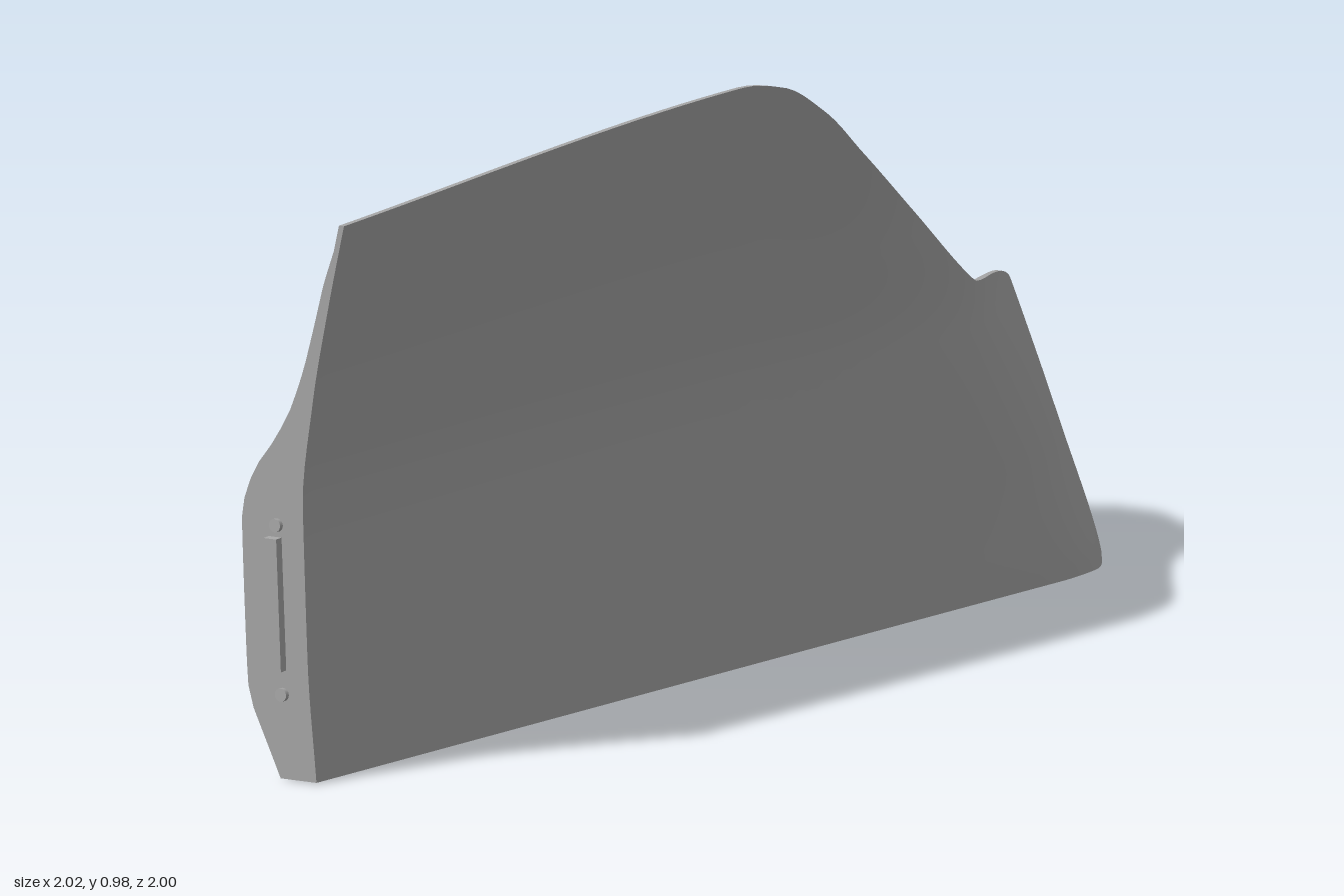
import * as THREE from 'three';
import { toCreasedNormals } from 'three/addons/utils/BufferGeometryUtils.js';

const { smoothstep, lerp } = THREE.MathUtils;

// Smooth interpolation through [position, value] pairs without overshoot
function profile(pts) {
  const slope = pts.slice(1).map((p, i) => (p[1] - pts[i][1]) / (p[0] - pts[i][0]));
  const tangent = pts.map((p, i) => {
    const a = slope[Math.max(i - 1, 0)], b = slope[Math.min(i, slope.length - 1)];
    return a * b <= 0 ? 0 : (2 * a * b) / (a + b);
  });
  return (x) => {
    if (x <= pts[0][0]) return pts[0][1];
    let i = 0;
    while (i < pts.length - 2 && x > pts[i + 1][0]) i++;
    const w = pts[i + 1][0] - pts[i][0];
    const t = Math.min((x - pts[i][0]) / w, 1), t2 = t * t, t3 = t2 * t;
    return (2 * t3 - 3 * t2 + 1) * pts[i][1] + (t3 - 2 * t2 + t) * w * tangent[i]
      + (3 * t2 - 2 * t3) * pts[i + 1][1] + (t3 - t2) * w * tangent[i + 1];
  };
}

// Panel described by length s, height y and outward offset n
const START = -1.267, TIP = 1.395;
const topHeight = profile([[START, 0.93], [-0.19, 0.98], [-0.065, 0.96], [0.063, 0.9], [0.202, 0.81],
  [0.429, 0.67], [0.644, 0.53], [0.685, 0.512], [0.813, 0.5], [0.971, 0.465], [1.115, 0.385],
  [1.215, 0.28], [TIP, 0.004]]);
const topOffset = profile([[START, 0.272], [-0.19, 0.27], [0.063, 0.255], [0.202, 0.232], [0.429, 0.178],
  [0.644, 0.135], [0.813, 0.068], [0.971, -0.015], [1.115, -0.096], [1.215, -0.147], [TIP, -0.227]]);
const bottomOffset = profile([[START, 0.179], [0.49, 0.174], [0.85, 0.174], [0.96, 0.163], [1.075, 0.097],
  [1.233, -0.036], [TIP, -0.225]]);
const bow = profile([[0, 0], [0.2, -0.009], [0.45, -0.008], [0.63, 0.018], [0.78, 0.051], [0.98, 0.1]]);
const bulge = profile([[0, 0.118], [0.42, 0.12], [0.5, 0.1], [0.56, 0.065], [0.62, 0.04], [0.7, 0.025], [0.95, 0.012]]);

function outerOffset(s, y, t) {
  const bottom = bottomOffset(s), top = bottom + bow(topHeight(s));
  const power = lerp(4, 1.2, smoothstep(s, 0.5, 1));
  return bottom + bow(y) + (topOffset(s) - top) * Math.pow(t, power);
}

function thickness(s, y) {
  const bevel = lerp(0.13, 0.4, smoothstep(s, 0.35, 0.95));
  let d = bulge(y);
  if (y < bevel) d = lerp(lerp(0.07, 0.03, smoothstep(s, 0.3, 0.9)), bulge(bevel), y / bevel);
  d = lerp(d, 0.025, smoothstep(s, 0.72, 1.12));
  const edge = Math.sqrt(Math.min(1, Math.max(0, topHeight(s) - y) / 0.1));
  return Math.max(d * edge, 0.01) * lerp(1, 0.3, smoothstep(s, 1.2, TIP));
}

function panelGeometry() {
  const cols = 110, rows = 32, ring = 2 * (rows + 1);
  const pos = [], index = [];
  for (let i = 0; i <= cols; i++) {
    const s = START + (TIP - START) * (1 - Math.pow(1 - i / cols, 1.15));
    const h = topHeight(s), outer = [], inner = [];
    for (let j = 0; j <= rows; j++) {
      const t = 1 - Math.pow(1 - j / rows, 1.3), y = t * h;
      const n = outerOffset(s, y, t);
      const x = s - 0.061 * y * smoothstep(-s, 0, 1.267);
      outer.push([x, y, n]);
      inner.unshift([x, y, n - thickness(s, y)]);
    }
    pos.push(...outer.flat(), ...inner.flat());
  }
  for (let i = 0; i < cols; i++) {
    for (let j = 0; j < ring; j++) {
      const k = (j + 1) % ring;
      const a = i * ring + j, b = a + ring, c = (i + 1) * ring + k, d = i * ring + k;
      index.push(a, b, c, a, c, d);
    }
  }
  // Caps at both ends
  for (let j = 0; j < rows; j++) {
    const back = ring - 1 - j, e = cols * ring;
    index.push(back, j, j + 1, back, j + 1, back - 1);
    index.push(e + back, e + j + 1, e + j, e + back, e + back - 1, e + j + 1);
  }
  const g = new THREE.BufferGeometry();
  g.setAttribute('position', new THREE.Float32BufferAttribute(pos, 3));
  g.setIndex(index);
  return toCreasedNormals(g, 0.7);
}

export function createModel() {
  const group = new THREE.Group();
  group.name = 'curvedBodyPanel';
  const grey = new THREE.MeshStandardMaterial({ color: 0xa6a6a6 });
  grey.name = 'panelGrey';

  const body = new THREE.Group();
  body.name = 'panelAssembly';
  body.rotation.y = Math.atan2(0.584, 0.811);
  group.add(body);

  const add = (name, geometry, x, y, z) => {
    const mesh = new THREE.Mesh(geometry, grey);
    mesh.name = name;
    mesh.position.set(x, y, z);
    body.add(mesh);
    return mesh;
  };

  add('panelShell', panelGeometry(), 0, 0, 0);

  // Raised tab and fasteners on the straight end
  add('endTab', new THREE.BoxGeometry(0.03, 0.22, 0.025), START - 0.018, 0.29, 0.115).rotation.z = 0.061;
  for (const y of [0.14, 0.42]) {
    add('endFastener', new THREE.CylinderGeometry(0.011, 0.011, 0.012, 16), START - 0.061 * y - 0.002, y, 0.12)
      .rotation.z = Math.PI / 2;
  }

  // Small fasteners along the bottom flange
  for (const s of [-1.13, -0.53, 0.08, 0.65]) {
    add('bottomFastener', new THREE.CylinderGeometry(0.01, 0.01, 0.006, 16), s, 0.001, 0.145);
  }
  return group;
}
